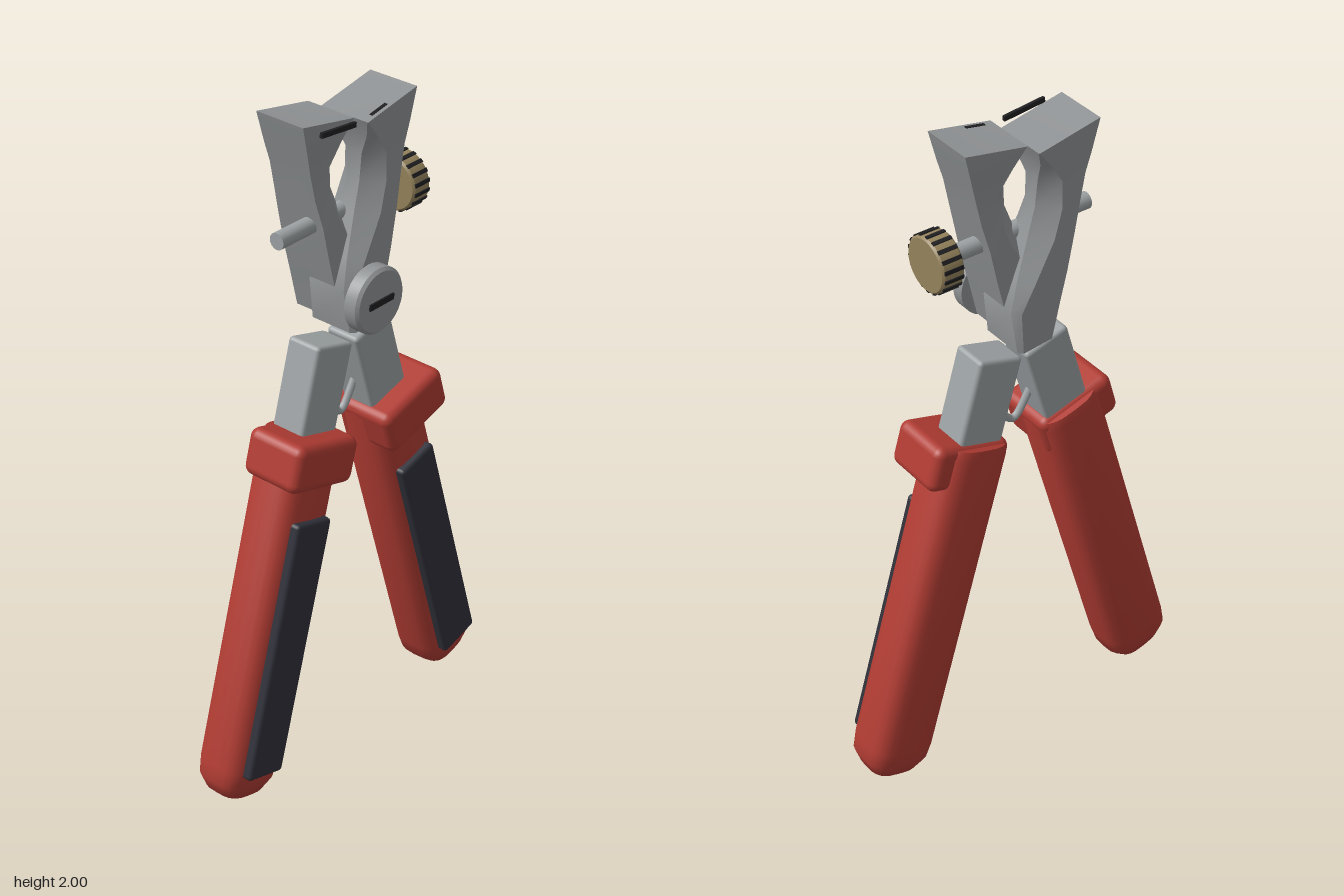
import * as THREE from 'three';
import { toCreasedNormals } from 'three/addons/utils/BufferGeometryUtils.js';
import { RoundedBoxGeometry } from 'three/addons/geometries/RoundedBoxGeometry.js';

const mat = (name, color) => {
  const m = new THREE.MeshStandardMaterial({ color });
  m.name = name;
  return m;
};

// Skin over rings of [x, y, z] points, counterclockwise seen from above, with capped ends
function loft(rings, crease) {
  const pos = [];
  const n = rings[0].length;
  const tri = (a, b, c) => pos.push(...a, ...b, ...c);
  const mid = (r) => [0, 1, 2].map((k) => r.reduce((s, p) => s + p[k], 0) / n);
  const top = rings[rings.length - 1];
  const lowMid = mid(rings[0]);
  const topMid = mid(top);
  for (let j = 0; j < n; j++) {
    const k = (j + 1) % n;
    for (let i = 0; i < rings.length - 1; i++) {
      const a = rings[i], b = rings[i + 1];
      tri(a[j], a[k], b[k]);
      tri(a[j], b[k], b[j]);
    }
    tri(lowMid, rings[0][k], rings[0][j]);
    tri(topMid, top[j], top[k]);
  }
  const g = new THREE.BufferGeometry();
  g.setAttribute('position', new THREE.Float32BufferAttribute(pos, 3));
  g.computeVertexNormals();
  return toCreasedNormals(g, crease);
}

// Rounded rectangular ring for the grips
function gripRing(y, hw, hd) {
  const ring = [];
  for (let i = 0; i < 24; i++) {
    const a = (i / 24) * Math.PI * 2;
    const c = Math.cos(a), s = Math.sin(a);
    const p = 0.62;
    ring.push([Math.sign(c) * hw * Math.abs(c) ** p, y, -Math.sign(s) * hd * Math.abs(s) ** p]);
  }
  return ring;
}

// Jaw ring: straight outer side at xR, chamfered inner side at xL
function jawRing([yIn, yOut, xL, xR, zB, zF, c]) {
  return [
    [xR, yOut, zF], [xR, yOut, zB], [xL + c, yIn, zB],
    [xL, yIn, zB + c], [xL, yIn, zF - c], [xL + c, yIn, zF],
  ];
}

export function createModel() {
  const red = mat('red grip', 0xb03c33);
  const dark = mat('dark rubber', 0x30303a);
  const steel = mat('shank steel', 0x9da2a4);
  const jawSteel = mat('jaw steel', 0x919496);
  const brass = mat('brass', 0x95835c);
  const black = mat('black', 0x202022);

  const root = new THREE.Group();
  root.name = 'pliers';
  const add = (parent, name, geo, material, x = 0, y = 0, z = 0) => {
    const m = new THREE.Mesh(geo, material);
    m.name = name;
    m.position.set(x, y, z);
    parent.add(m);
    return m;
  };

  // Handles: grip, rubber pad, collar and steel shank
  const gripGeo = loft([
    gripRing(-0.485, 0.05, 0.045), gripRing(-0.472, 0.075, 0.064),
    gripRing(-0.43, 0.103, 0.082), gripRing(-0.38, 0.106, 0.0875),
    gripRing(0.6, 0.105, 0.0875), gripRing(0.625, 0.098, 0.08),
  ], 0.7);
  const padGeo = new RoundedBoxGeometry(0.14, 0.785, 0.04, 2, 0.012);
  const collarGeo = new RoundedBoxGeometry(0.25, 0.137, 0.195, 3, 0.028);
  const shankGeo = new RoundedBoxGeometry(0.145, 0.34, 0.11, 2, 0.012);
  for (const side of [1, -1]) {
    const h = new THREE.Group();
    h.name = side > 0 ? 'leftHandle' : 'rightHandle';
    h.position.set(side * 0.325, 0.48, 0);
    h.rotation.z = side * 0.281;
    add(h, 'grip', gripGeo, red, 0, 0, -0.0225);
    add(h, 'gripPad', padGeo, dark, 0, 0, 0.065);
    add(h, 'collar', collarGeo, red, side * 0.022, 0.567, 0.008);
    add(h, 'shank', shankGeo, steel, -side * 0.005, 0.717, -0.02);
    root.add(h);
  }

  // Bent wire spring between the shanks
  const wire = new THREE.CatmullRomCurve3([
    [-0.075, 1.18], [-0.045, 1.125], [-0.015, 1.08], [0, 1.072],
    [0.015, 1.08], [0.045, 1.125], [0.075, 1.18],
  ].map(([x, y]) => new THREE.Vector3(x, y, -0.02)));
  add(root, 'spring', new THREE.TubeGeometry(wire, 30, 0.011, 8), steel);

  // Jaws: the second is the first turned half way round
  const jawGeo = loft([
    [1.375, 1.385, -0.06, 0.045, -0.075, 0.08, 0.012],
    [1.5, 1.5, -0.075, 0.072, -0.08, 0.08, 0.02],
    [1.58, 1.58, -0.045, 0.092, -0.08, 0.08, 0.035],
    [1.69, 1.69, 0.0, 0.115, -0.078, 0.079, 0.05],
    [1.77, 1.77, 0.028, 0.135, -0.07, 0.073, 0.05],
    [1.85, 1.85, 0.035, 0.153, -0.07, 0.07, 0.045],
    [1.91, 1.91, 0.022, 0.17, -0.077, 0.073, 0.02],
    [1.963, 2.0, 0.0, 0.193, -0.083, 0.076, 0.002],
  ].map(jawRing), 0.6);
  add(root, 'leftJaw', jawGeo, jawSteel);
  add(root, 'rightJaw', jawGeo, jawSteel, 0, 0, -0.053).rotation.y = Math.PI;

  // Dark inserts at the jaw mouth
  add(root, 'longInsert', new THREE.BoxGeometry(0.13, 0.014, 0.009), black, -0.095, 1.971, 0.06).rotation.z = -0.1;
  add(root, 'shortInsert', new THREE.BoxGeometry(0.06, 0.009, 0.009), black, 0.06, 1.972, 0.06).rotation.z = 0.19;

  // Pivot screw with slot
  const pivot = new THREE.LatheGeometry([
    [0, -0.14], [0.05, -0.14], [0.05, 0], [0.095, 0], [0.095, 0.037], [0.087, 0.046], [0, 0.046],
  ].map(([x, y]) => new THREE.Vector2(x, y)), 32);
  add(root, 'pivotScrew', toCreasedNormals(pivot, 0.5), jawSteel, 0, 1.465, 0.079).rotation.x = Math.PI / 2;
  add(root, 'pivotSlot', new THREE.BoxGeometry(0.095, 0.018, 0.008), black, 0, 1.465, 0.126);

  // Adjusting rod and ribbed knob
  const adjuster = new THREE.Group();
  adjuster.name = 'adjuster';
  adjuster.position.set(0, 1.685, -0.022);
  add(adjuster, 'rod', new THREE.CylinderGeometry(0.024, 0.024, 0.46, 16), steel, -0.01).rotation.z = Math.PI / 2;
  const knob = new THREE.LatheGeometry([
    [0, -0.034], [0.074, -0.034], [0.08, -0.028], [0.08, 0.028], [0.074, 0.034], [0, 0.034],
  ].map(([x, y]) => new THREE.Vector2(x, y)), 36);
  add(adjuster, 'knob', toCreasedNormals(knob, 0.5), brass, 0.244).rotation.z = Math.PI / 2;
  const ribGeo = new THREE.BoxGeometry(0.058, 0.006, 0.011);
  for (let i = 0; i < 18; i++) {
    const a = (i / 18) * Math.PI * 2;
    add(adjuster, 'knobRib', ribGeo, black, 0.244, Math.cos(a) * 0.08, Math.sin(a) * 0.08).rotation.x = a;
  }
  root.add(adjuster);
  return root;
}
